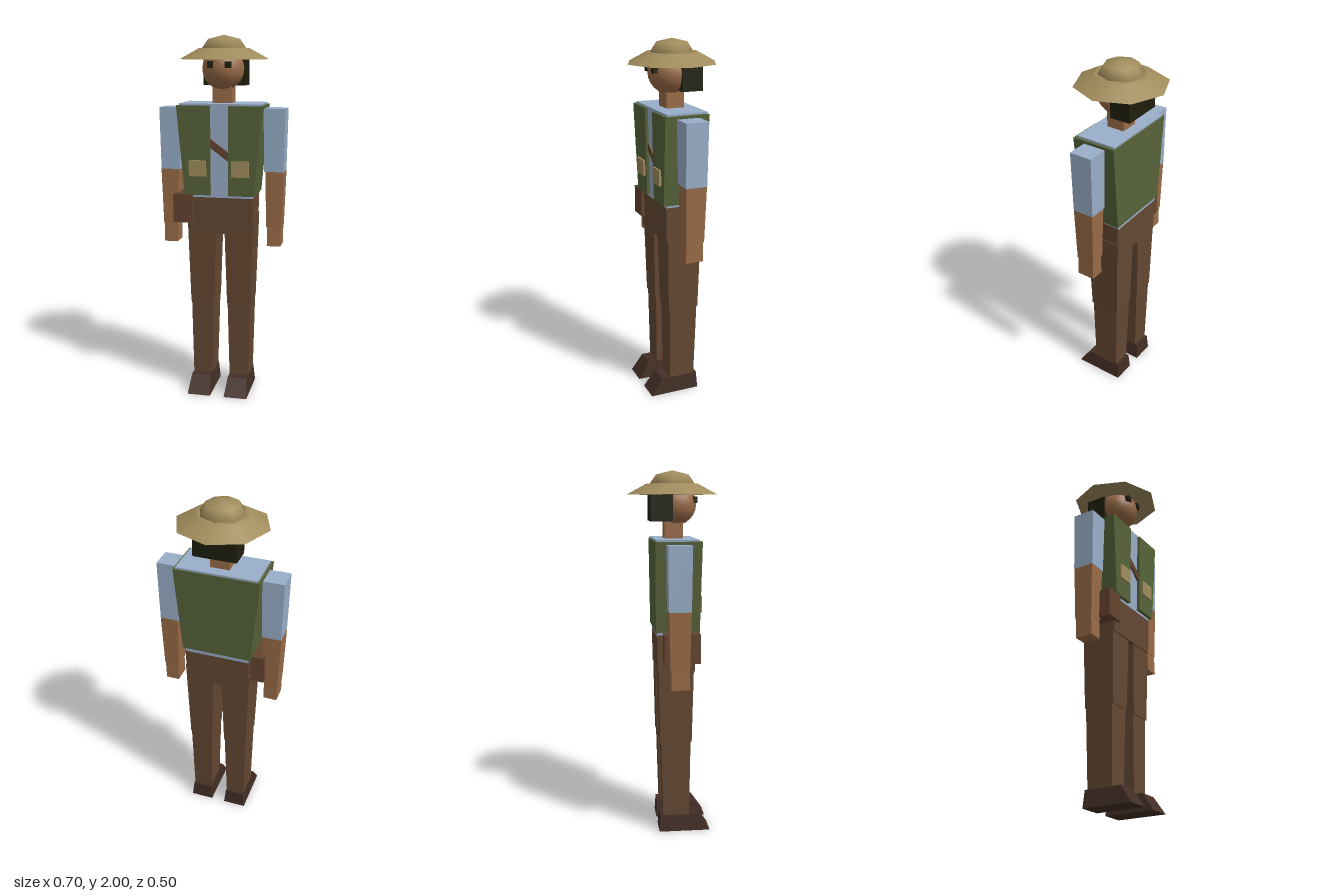
import * as THREE from 'three';

export function createModel() {
  const model = new THREE.Group();
  model.name = 'outdoorsman';

  const mat = (name, color) => {
    const m = new THREE.MeshStandardMaterial({ color });
    m.name = name;
    return m;
  };
  const khaki = mat('khaki', 0xa08c5c);
  const skin = mat('skin', 0x996b47);
  const dark = mat('dark hair', 0x1f1e0d);
  const blue = mat('shirt blue', 0x99afc9);
  const green = mat('vest green', 0x57633a);
  const brown = mat('trouser brown', 0x644832);
  const bootBrown = mat('boot brown', 0x432e25);
  const leather = mat('leather', 0x64442f);

  const add = (name, geometry, material, x = 0, y = 0, z = 0) => {
    const mesh = new THREE.Mesh(geometry, material);
    mesh.name = name;
    mesh.position.set(x, y, z);
    model.add(mesh);
    return mesh;
  };

  // Tapered block: bottom and top rectangles given as [x0, x1, z0, z1]
  const block = (name, material, y0, y1, bottom, top = bottom, side = 1) => {
    const g = new THREE.BoxGeometry(1, 1, 1);
    const p = g.attributes.position;
    const place = ([x0, x1, z0, z1]) => (side > 0 ? [x0, x1, z0, z1] : [-x1, -x0, z0, z1]);
    const lo = place(bottom), hi = place(top);
    for (let i = 0; i < p.count; i++) {
      const up = p.getY(i) > 0;
      const r = up ? hi : lo;
      p.setXYZ(i, r[p.getX(i) > 0 ? 1 : 0], up ? y1 : y0, r[p.getZ(i) > 0 ? 3 : 2]);
    }
    g.computeVertexNormals();
    return add(name, g, material);
  };

  // Hat: sloping octagonal brim and a shallow dome
  add('hatBrim', new THREE.CylinderGeometry(0.14, 0.248, 0.058, 8), khaki, 0, 1.901, 0);
  const crown = add('hatCrown',
    new THREE.SphereGeometry(0.125, 8, 2, 0, Math.PI * 2, 0, Math.PI / 2), khaki, 0, 1.926, 0);
  crown.scale.y = 0.074 / 0.125;

  // Head, hair and neck
  add('head', new THREE.SphereGeometry(0.115, 16, 12), skin, 0, 1.823, 0.016);
  block('hair', dark, 1.732, 1.876, [-0.117, 0.117, -0.127, -0.01]);
  block('neck', skin, 1.62, 1.75, [-0.053, 0.053, -0.048, 0.053]);

  // Torso
  block('shirt', blue, 1.12, 1.64, [-0.18, 0.18, -0.1, 0.108], [-0.222, 0.222, -0.108, 0.12]);
  block('vestBack', green, 1.145, 1.63, [-0.16, 0.16, -0.109, -0.08], [-0.2, 0.2, -0.113, -0.09]);
  block('hips', brown, 0.928, 1.13, [-0.178, 0.178, -0.097, 0.105], [-0.183, 0.183, -0.1, 0.11]);

  // Strap across the chest
  const strap = add('chestStrap', new THREE.BoxGeometry(0.2, 0.038, 0.02), leather, 0, 1.392, 0.114);
  strap.rotation.z = -0.64;

  // Hip pouch on the right side
  block('hipPouch', leather, 0.987, 1.145, [-0.26, -0.15, -0.07, 0.125]);

  for (const s of [1, -1]) {
    const n = s > 0 ? 'left' : 'right';

    // Vest half with its pocket
    block(n + 'VestHalf', green, 1.145, 1.63,
      [0.05, 0.193, -0.109, 0.128], [0.05, 0.235, -0.113, 0.135], s);
    block(n + 'VestPocket', khaki, 1.25, 1.337, [0.07, 0.165, 0.11, 0.142], undefined, s);

    // Eye
    block(n + 'Eye', dark, 1.828, 1.862, [0.032, 0.063, 0.1, 0.13], undefined, s);

    // Arm
    block(n + 'Sleeve', blue, 1.275, 1.615,
      [0.237, 0.342, -0.054, 0.065], [0.23, 0.348, -0.057, 0.069], s);
    block(n + 'Forearm', skin, 0.968, 1.275,
      [0.25, 0.334, -0.044, 0.058], [0.243, 0.343, -0.052, 0.064], s);
    block(n + 'Hand', skin, 0.86, 0.97,
      [0.255, 0.33, -0.04, 0.06], [0.255, 0.332, -0.04, 0.056], s);

    // Leg
    block(n + 'Thigh', brown, 0.525, 1.02,
      [0.037, 0.17, -0.085, 0.09], [0.022, 0.185, -0.095, 0.1], s);
    block(n + 'Shin', brown, 0.09, 0.53,
      [0.05, 0.16, -0.068, 0.078], [0.039, 0.168, -0.08, 0.084], s);
    block(n + 'Boot', bootBrown, 0, 0.095,
      [0.04, 0.17, -0.09, 0.195], [0.05, 0.16, -0.085, 0.13], s);
  }

  return model;
}
